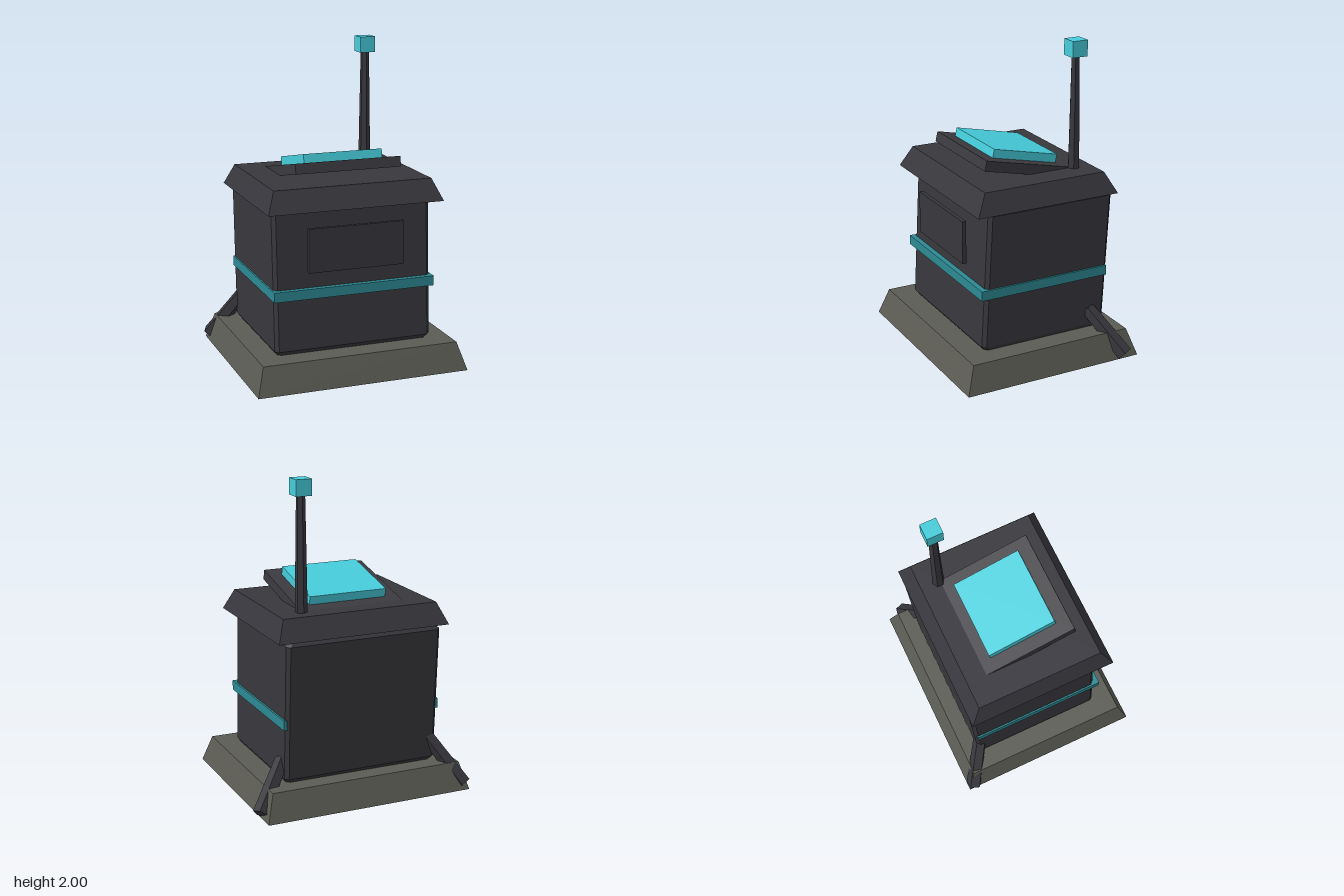
import * as THREE from 'three';

const paint = (name, color) => {
  const m = new THREE.MeshStandardMaterial({ color });
  m.name = name;
  return m;
};

// Stack of rectangles [y, x0, x1, z0, z1], optionally with cut corners, joined with flat faces.
function loft(levels, cut = 0) {
  const rings = levels.map(([y, x0, x1, z0, z1]) => {
    const flat = cut
      ? [[x0 + cut, z1], [x1 - cut, z1], [x1, z1 - cut], [x1, z0 + cut],
         [x1 - cut, z0], [x0 + cut, z0], [x0, z0 + cut], [x0, z1 - cut]]
      : [[x0, z1], [x1, z1], [x1, z0], [x0, z0]];
    return flat.map(([x, z]) => [x, y, z]);
  });
  const n = rings[0].length, pos = [];
  const tri = (a, b, c) => pos.push(...a, ...b, ...c);
  for (let k = 0; k < rings.length - 1; k++) {
    const lo = rings[k], hi = rings[k + 1];
    for (let i = 0; i < n; i++) {
      const j = (i + 1) % n;
      tri(lo[i], lo[j], hi[j]);
      tri(lo[i], hi[j], hi[i]);
    }
  }
  const bottom = rings[0], top = rings[rings.length - 1];
  for (let i = 1; i < n - 1; i++) {
    tri(bottom[0], bottom[i + 1], bottom[i]);
    tri(top[0], top[i], top[i + 1]);
  }
  const g = new THREE.BufferGeometry();
  g.setAttribute('position', new THREE.Float32BufferAttribute(pos, 3));
  g.computeVertexNormals();
  return g;
}

// Box given by its extents.
function block(x0, x1, y0, y1, z0, z1) {
  return new THREE.BoxGeometry(x1 - x0, y1 - y0, z1 - z0)
    .translate((x0 + x1) / 2, (y0 + y1) / 2, (z0 + z1) / 2);
}

// Faceted rod between two points.
function rod(from, to, r0, r1, sides) {
  const a = new THREE.Vector3(...from), b = new THREE.Vector3(...to);
  const dir = b.clone().sub(a);
  const g = new THREE.CylinderGeometry(r1, r0, dir.length(), sides).toNonIndexed();
  g.computeVertexNormals();
  g.applyQuaternion(new THREE.Quaternion().setFromUnitVectors(
    new THREE.Vector3(0, 1, 0), dir.clone().normalize()));
  const mid = a.add(b).multiplyScalar(0.5);
  return g.translate(mid.x, mid.y, mid.z);
}

export function createModel() {
  const model = new THREE.Group();
  model.name = 'terminal';
  const dark = paint('dark metal', 0x38373d);
  const panel = paint('panel metal', 0x3b3b40);
  const stone = paint('stone grey', 0x5c5c55);
  const glow = paint('bright cyan', 0x46cddb);
  const teal = paint('deep teal', 0x2d8a94);

  const add = (name, geometry, material, parent = model) => {
    const mesh = new THREE.Mesh(geometry, material);
    mesh.name = name;
    parent.add(mesh);
    return mesh;
  };

  // Sloped plinth
  add('base', loft([
    [0, -0.685, 0.677, -0.593, 0.6],
    [0.173, -0.635, 0.625, -0.535, 0.54],
  ]), stone);

  // Backward-leaning cabinet with cut edges
  add('body', loft([
    [0.172, -0.495, 0.485, -0.415, 0.39],
    [0.2, -0.515, 0.503, -0.44, 0.412],
    [1.04, -0.515, 0.503, -0.485, 0.366],
    [1.07, -0.49, 0.478, -0.46, 0.342],
  ], 0.022), dark);

  // Band wraps the front and sides, its back stays inside the cabinet
  add('band', block(-0.525, 0.515, 0.52, 0.582, -0.446, 0.425), teal);
  add('frontPlate', block(-0.313, 0.3, 0.687, 0.96, 0.42, 0.445), dark);

  // Flared lid
  add('lid', loft([
    [1.065, -0.568, 0.556, -0.49, 0.465],
    [1.198, -0.513, 0.501, -0.42, 0.394],
  ]), dark);

  // Console tilted up at the front, with its screen
  const consoleGroup = new THREE.Group();
  consoleGroup.name = 'console';
  consoleGroup.position.set(0, 1.23, 0);
  consoleGroup.rotation.x = -0.22;
  model.add(consoleGroup);
  add('consolePanel', block(-0.345, 0.335, -0.0325, 0.0325, -0.31, 0.31), panel, consoleGroup);
  add('screen', block(-0.26, 0.25, 0.03, 0.087, -0.222, 0.225), glow, consoleGroup);

  // Antenna mast and tip
  add('antenna', rod([0.337, 1.19, -0.303], [0.337, 1.91, -0.303], 0.039, 0.027, 6), dark);
  add('antennaTip', block(0.286, 0.388, 1.9, 2, -0.355, -0.253), glow);

  // Struts run from the rear corners through the plinth
  add('leftStrut', rod([0.685, 0.035, -0.49], [0.48, 0.3, -0.335], 0.052, 0.045, 5), dark);
  add('rightStrut', rod([-0.665, 0.035, -0.553], [-0.47, 0.34, -0.41], 0.052, 0.045, 5), dark);

  return model;
}
